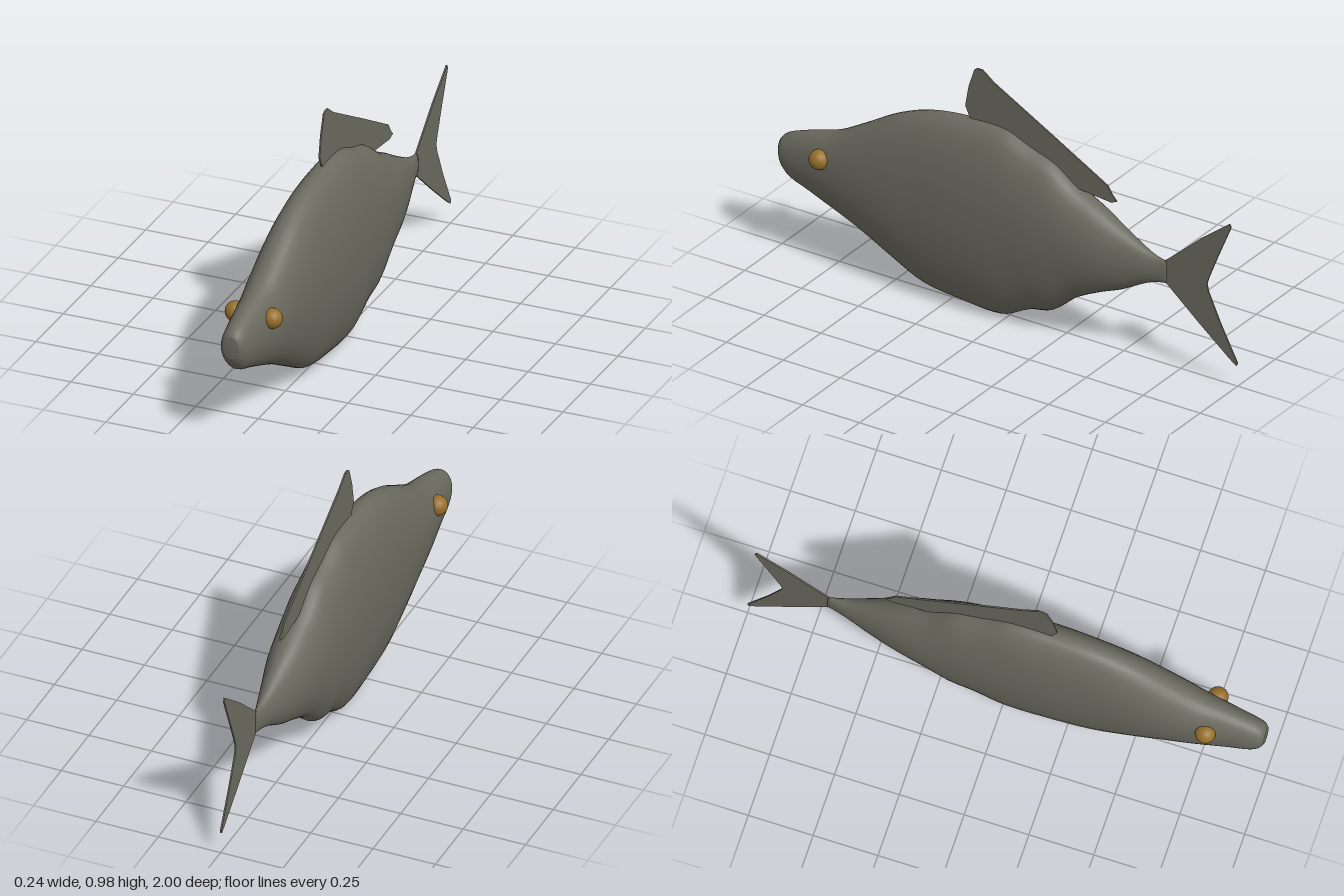
import * as THREE from 'three';

// Body stations from nose to tail: z, top y, bottom y, half width
const STATIONS = [
  [1.0, 0.445, 0.36, 0.03], [0.985, 0.462, 0.33, 0.046], [0.95, 0.48, 0.295, 0.056],
  [0.87, 0.508, 0.265, 0.068], [0.75, 0.545, 0.22, 0.087], [0.65, 0.60, 0.178, 0.1],
  [0.5, 0.688, 0.1, 0.111], [0.36, 0.742, 0.032, 0.115], [0.2, 0.766, 0.01, 0.12],
  [0.02, 0.769, 0.003, 0.119], [-0.1, 0.724, 0.058, 0.116], [-0.2, 0.688, 0.085, 0.111],
  [-0.3, 0.617, 0.165, 0.103], [-0.4, 0.563, 0.217, 0.088], [-0.5, 0.505, 0.258, 0.062],
  [-0.6, 0.452, 0.312, 0.034], [-0.65, 0.434, 0.33, 0.02], [-0.69, 0.428, 0.336, 0.009],
];

// Smooth loft of near-elliptical rings, closed at both ends
function bodyGeometry(sides = 40, steps = 5) {
  const at = (i) => STATIONS[Math.min(Math.max(i, 0), STATIONS.length - 1)];
  const pos = [], index = [];
  const rings = (STATIONS.length - 1) * steps + 1;
  for (let r = 0; r < rings; r++) {
    const i = Math.min(Math.floor(r / steps), STATIONS.length - 2), t = r / steps - i;
    const [z, top, bottom, w] = [0, 1, 2, 3].map((k) => {
      const a = at(i - 1)[k], b = at(i)[k], c = at(i + 1)[k], d = at(i + 2)[k];
      const span = at(i + 1)[0] - at(i)[0];
      const m0 = (c - a) / (at(i + 1)[0] - at(i - 1)[0]) * span;
      const m1 = (d - b) / (at(i + 2)[0] - at(i)[0]) * span;
      const t2 = t * t, t3 = t2 * t;
      return (2 * t3 - 3 * t2 + 1) * b + (t3 - 2 * t2 + t) * m0 + (3 * t2 - 2 * t3) * c + (t3 - t2) * m1;
    });
    for (let s = 0; s < sides; s++) {
      const a = s / sides * Math.PI * 2, c = Math.cos(a);
      const x = Math.sign(c) * Math.abs(c) ** 0.93 * w;
      pos.push(x, (top + bottom) / 2 + Math.sin(a) * (top - bottom) / 2, z);
    }
  }
  for (let r = 0; r < rings - 1; r++) {
    for (let s = 0; s < sides; s++) {
      const a = r * sides + s, b = r * sides + (s + 1) % sides;
      index.push(a, a + sides, b, b, a + sides, b + sides);
    }
  }
  const nose = pos.length / 3, last = (rings - 1) * sides;
  pos.push(0, 0.4, 1.0, 0, 0.382, -0.69);
  for (let s = 0; s < sides; s++) {
    const n = (s + 1) % sides;
    index.push(nose, s, n, nose + 1, last + n, last + s);
  }
  const g = new THREE.BufferGeometry();
  g.setAttribute('position', new THREE.Float32BufferAttribute(pos, 3));
  g.setIndex(index);
  g.computeVertexNormals();
  return g;
}

// Thin fin drawn as (z, y) outline, standing in the x = 0 plane
function finGeometry(points) {
  const depth = 0.006;
  const shape = new THREE.Shape(points.map(([z, y]) => new THREE.Vector2(-z, y)));
  const g = new THREE.ExtrudeGeometry(shape, { depth, bevelEnabled: false });
  return g.translate(0, 0, -depth / 2).rotateY(Math.PI / 2);
}

export function createModel() {
  const fish = new THREE.Group();
  fish.name = 'fish';
  const skin = new THREE.MeshStandardMaterial({ color: 0x6b6a5f });
  skin.name = 'greySkin';
  const amber = new THREE.MeshStandardMaterial({ color: 0x97702a });
  amber.name = 'amberEye';

  const add = (name, geometry, material) => {
    const mesh = new THREE.Mesh(geometry, material);
    mesh.name = name;
    fish.add(mesh);
    return mesh;
  };

  add('body', bodyGeometry(), skin);

  // Swept-back dorsal fin, rooted inside the back
  add('dorsalFin', finGeometry([
    [0.195, 0.815], [0.18, 0.9], [0.155, 0.975], [0.143, 0.983], [0.12, 0.983], [0.07, 0.945],
    [-0.2, 0.795], [-0.43, 0.665], [-0.452, 0.63], [-0.47, 0.61], [-0.445, 0.6],
    [-0.3, 0.615], [-0.2, 0.62], [0, 0.7], [0.15, 0.74], [0.175, 0.77],
  ]), skin);

  // Forked tail fin
  add('tailFin', finGeometry([
    [-0.67, 0.42], [-0.69, 0.435], [-0.84, 0.568], [-0.965, 0.664], [-0.972, 0.65], [-0.915, 0.515],
    [-0.875, 0.415], [-0.866, 0.385], [-0.873, 0.355], [-0.925, 0.24], [-1, 0.095],
    [-0.995, 0.083], [-0.965, 0.105], [-0.83, 0.215], [-0.69, 0.335], [-0.67, 0.345],
  ]), skin);

  // Eyes, half sunk in the head
  for (const [name, side] of [['leftEye', 1], ['rightEye', -1]]) {
    add(name, new THREE.SphereGeometry(0.039, 24, 16), amber).position.set(side * 0.074, 0.444, 0.79);
  }
  return fish;
}
